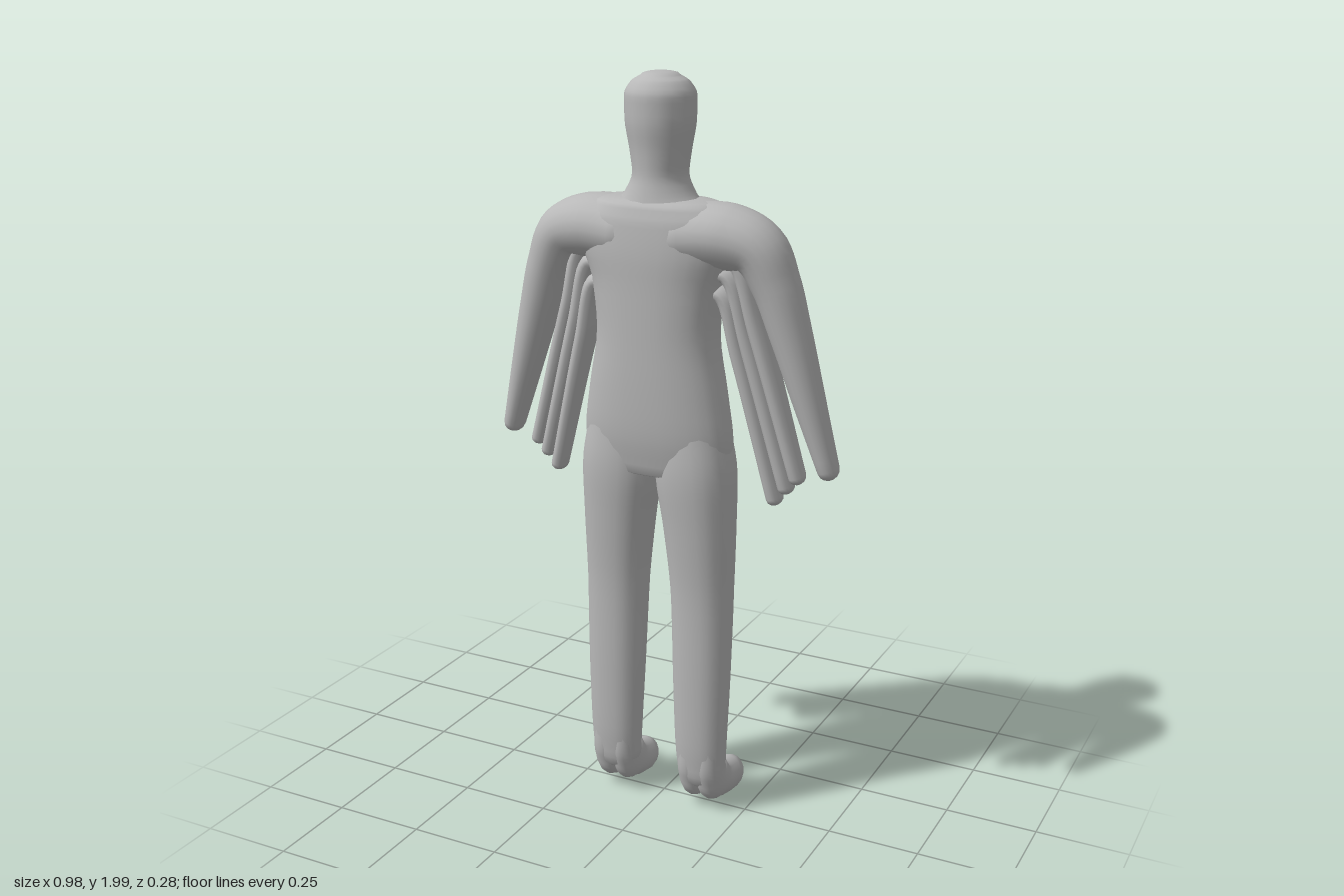
import * as THREE from 'three';

const skin = new THREE.MeshStandardMaterial({ color: 0xb8b8b8 });
skin.name = 'plain grey';

const Z = new THREE.Vector3(0, 0, 1);
const X = new THREE.Vector3(1, 0, 0);

// Smooth closed limb through stations [x, y, z, ru, rv]; rv lies along axis, ru across it.
// power < 1 squares the section; dome scales the rounded ends.
function loft(name, stations, axis = Z, { sides = 20, steps = 28, power = 1, dome = 1 } = {}) {
  const path = new THREE.CatmullRomCurve3(stations.map(s => new THREE.Vector3(s[0], s[1], s[2])));
  const size = new THREE.CatmullRomCurve3(stations.map(s => new THREE.Vector3(s[3], s[4], 0)));
  const rings = [];
  const addRing = (t, scale, push) => {
    const r = size.getPoint(t);
    const dir = path.getTangent(t);
    const u = new THREE.Vector3().crossVectors(axis, dir).normalize();
    const c = path.getPoint(t).addScaledVector(dir, push * dome * Math.min(r.x, r.y));
    rings.push({ c, u, a: r.x * scale, b: r.y * scale });
  };
  const caps = [0.02, 0.35, 0.65, 0.88];
  caps.forEach(s => addRing(0, s, -Math.sqrt(1 - s * s)));
  for (let i = 0; i <= steps; i++) addRing(i / steps, 1, 0);
  [...caps].reverse().forEach(s => addRing(1, s, Math.sqrt(1 - s * s)));

  const pos = [], index = [];
  const bend = v => Math.sign(v) * Math.pow(Math.abs(v), power);
  rings.forEach(({ c, u, a, b }, row) => {
    for (let i = 0; i < sides; i++) {
      const q = (i / sides) * Math.PI * 2;
      const p = c.clone().addScaledVector(u, a * bend(Math.cos(q))).addScaledVector(axis, b * bend(Math.sin(q)));
      pos.push(p.x, p.y, p.z);
      if (row === rings.length - 1) continue;
      const j = (i + 1) % sides, k = row * sides, n = k + sides;
      index.push(k + i, k + j, n + i, k + j, n + j, n + i);
    }
  });
  const g = new THREE.BufferGeometry();
  g.setAttribute('position', new THREE.Float32BufferAttribute(pos, 3));
  g.setIndex(index);
  g.computeVertexNormals();
  const mesh = new THREE.Mesh(g, skin);
  mesh.name = name;
  return mesh;
}

export function createModel() {
  const model = new THREE.Group();
  model.name = 'figure';

  // Torso from hips to shoulder line
  model.add(loft('torso', [
    [0, 0.98, 0.028, 0.20, 0.085],
    [0, 1.08, 0.032, 0.207, 0.10],
    [0, 1.2, 0.034, 0.19, 0.104],
    [0, 1.35, 0.033, 0.166, 0.106],
    [0, 1.48, 0.03, 0.18, 0.109],
    [0, 1.58, 0.028, 0.215, 0.11],
    [0, 1.64, 0.028, 0.21, 0.104],
    [0, 1.68, 0.027, 0.17, 0.092],
  ], Z, { sides: 32, power: 0.88, dome: 0.15 }));

  // Neck flare and head
  model.add(loft('head', [
    [0, 1.66, 0.024, 0.13, 0.092],
    [0, 1.70, 0.022, 0.092, 0.086],
    [0, 1.75, 0.02, 0.07, 0.08],
    [0, 1.81, 0.02, 0.078, 0.082],
    [0, 1.88, 0.02, 0.09, 0.09],
    [0, 1.94, 0.02, 0.091, 0.09],
    [0, 1.975, 0.02, 0.072, 0.072],
    [0, 1.988, 0.02, 0.05, 0.05],
  ], Z, { sides: 16, dome: 0.22 }));

  // Finger-like feathers below each arm: top x, top y, tip x, tip y
  const feathers = [
    [0.212, 1.55, 0.38, 1.0],
    [0.193, 1.51, 0.35, 0.97],
    [0.178, 1.46, 0.319, 0.935],
  ];

  for (const s of [1, -1]) {
    const side = s > 0 ? 'left' : 'right';

    // Shoulder and arm in one sweep
    model.add(loft(side + 'Arm', [
      [s * 0.08, 1.6, 0.028, 0.085, 0.106],
      [s * 0.19, 1.605, 0.027, 0.083, 0.098],
      [s * 0.272, 1.58, 0.026, 0.072, 0.083],
      [s * 0.318, 1.5, 0.022, 0.061, 0.072],
      [s * 0.358, 1.38, 0.017, 0.053, 0.062],
      [s * 0.412, 1.2, 0.008, 0.04, 0.05],
      [s * 0.463, 1.03, -0.002, 0.027, 0.038],
    ], Z, { steps: 36 }));

    feathers.forEach(([x0, y0, x1, y1], i) => model.add(loft(side + 'Feather' + (i + 1), [
      [s * (x0 - 0.06), y0 - 0.02, 0.02, 0.02, 0.045],
      [s * x0, y0, 0.018, 0.026, 0.05],
      [s * (x0 * 0.7 + x1 * 0.3 + 0.005), y0 * 0.7 + y1 * 0.3, 0.012, 0.025, 0.045],
      [s * x1, y1, 0, 0.021, 0.034],
    ], Z, { sides: 14 })));

    // Leg
    model.add(loft(side + 'Leg', [
      [s * 0.1, 1.12, 0.03, 0.09, 0.085],
      [s * 0.108, 0.98, 0.028, 0.107, 0.096],
      [s * 0.118, 0.84, 0.026, 0.097, 0.088],
      [s * 0.126, 0.65, 0.024, 0.085, 0.075],
      [s * 0.129, 0.4, 0.03, 0.079, 0.066],
      [s * 0.13, 0.2, 0.034, 0.072, 0.056],
      [s * 0.131, 0.11, 0.03, 0.067, 0.05],
    ], Z, { sides: 24, power: 0.9, dome: 0.9 }));

    // Foot made of two lobes pointing back
    [[0.157, 0.042, -0.095], [0.105, 0.04, -0.082]].forEach(([x, r, end], i) => model.add(
      loft(side + (i ? 'InnerToe' : 'OuterToe'), [
        [s * x, 0.2, 0.034, 0.05, r],
        [s * x, 0.11, 0.025, 0.052, r],
        [s * x, 0.07, -0.02, 0.052, r],
        [s * x, 0.053, end, 0.05, r],
      ], X, { sides: 16 })));
  }
  return model;
}
